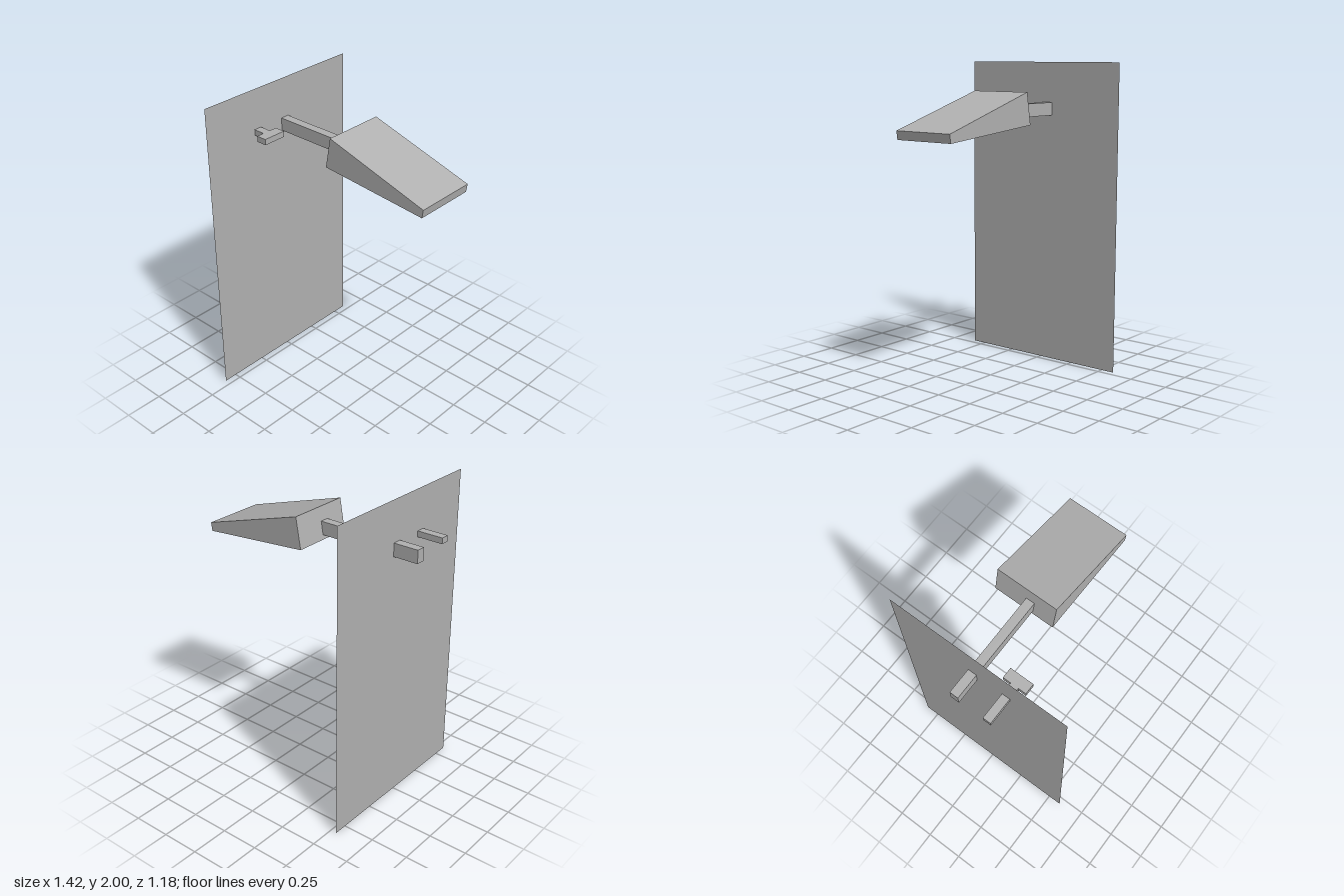
import * as THREE from 'three';

// Extrude an outline along +z between two depths
function prism(points, depth) {
  const shape = new THREE.Shape(points.map(([a, b]) => new THREE.Vector2(a, b)));
  return new THREE.ExtrudeGeometry(shape, { depth, bevelEnabled: false });
}

export function createModel() {
  const group = new THREE.Group();
  const grey = new THREE.MeshStandardMaterial({ color: 0xb2b2b2, side: THREE.DoubleSide });
  grey.name = 'plain grey';

  const add = (name, geometry) => {
    const mesh = new THREE.Mesh(geometry, grey);
    mesh.name = name;
    group.add(mesh);
    return mesh;
  };

  // Thin upright sheet, facing sideways
  const panel = add('panel', new THREE.PlaneGeometry(1.18, 2));
  panel.rotation.y = Math.PI / 2;
  panel.position.set(-0.542, 1, 0);

  // Tapered, tilted wedge held out to the side
  const wedge = add('wedgeHead', prism(
    [[-0.03, 1.626], [0.697, 1.562], [0.705, 1.616], [0.004, 1.825]], 0.411));
  wedge.position.z = -0.288;

  // Bar through the panel, its end cut to meet the sloping wedge face
  const bar = add('supportBar', prism(
    [[-0.706, 1.654], [-0.025, 1.654], [-0.011, 1.738], [-0.706, 1.738]], 0.057));
  bar.position.z = -0.077;

  // T-shaped handle through the panel, outlined in plan as (x, -z)
  const handle = add('handle', prism([
    [-0.713, -0.21], [-0.465, -0.21], [-0.465, -0.262], [-0.396, -0.262],
    [-0.396, -0.104], [-0.465, -0.104], [-0.465, -0.157], [-0.713, -0.157],
  ], 0.038));
  handle.rotation.x = -Math.PI / 2;
  handle.position.y = 1.7;

  return group;
}
